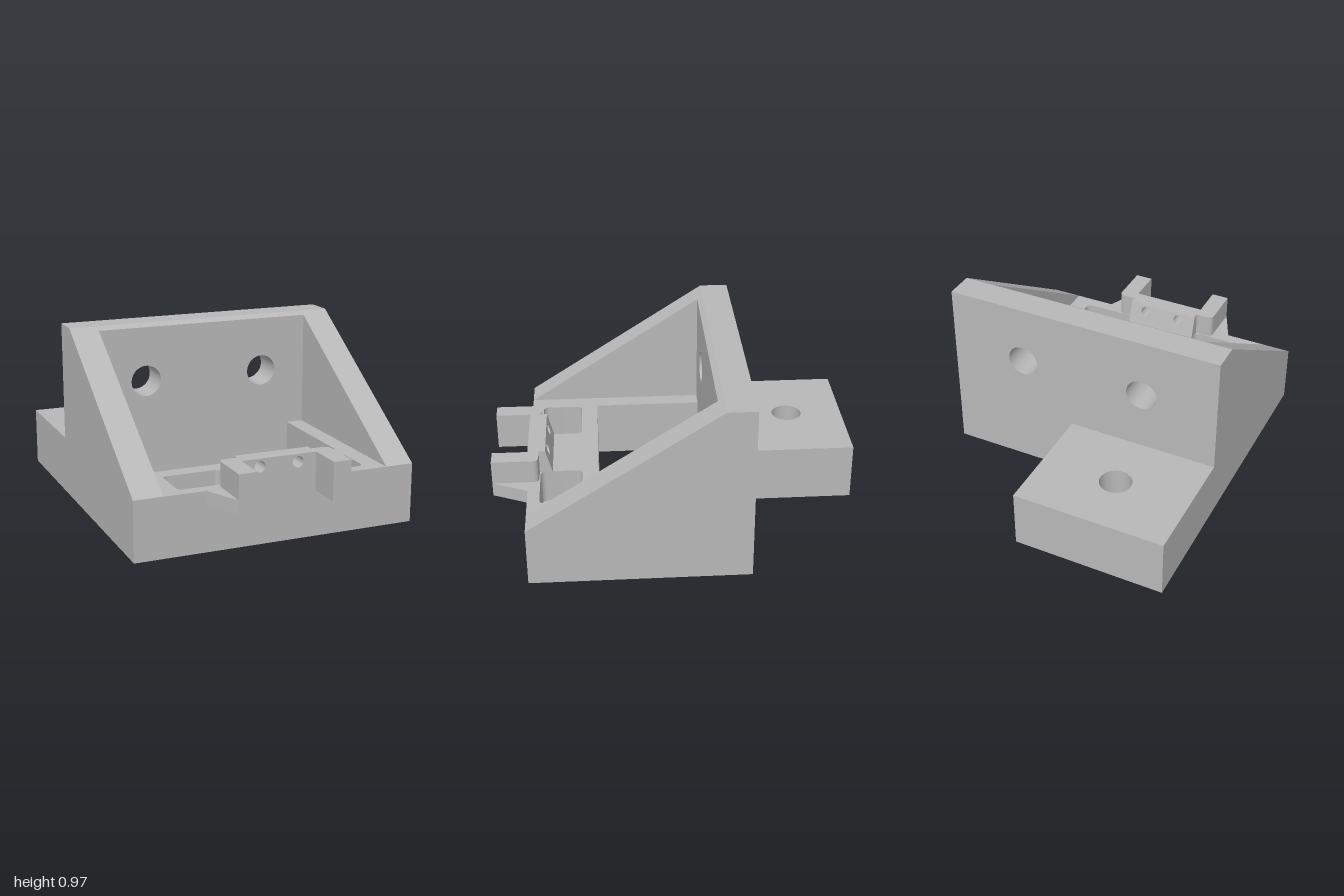
import * as THREE from 'three';
import { toCreasedNormals } from 'three/addons/utils/BufferGeometryUtils.js';

const polygon = (pts) => new THREE.Shape(pts.map(([x, y]) => new THREE.Vector2(x, y)));
const rect = (x0, y0, x1, y1) => polygon([[x0, y0], [x1, y0], [x1, y1], [x0, y1]]);
const circle = (x, y, r) => new THREE.Path().absarc(x, y, r, 0, Math.PI * 2, true);

function roundRect(x0, y0, x1, y1, r) {
  const p = new THREE.Path();
  p.absarc(x1 - r, y1 - r, r, 0, Math.PI / 2);
  p.absarc(x0 + r, y1 - r, r, Math.PI / 2, Math.PI);
  p.absarc(x0 + r, y0 + r, r, Math.PI, Math.PI * 1.5);
  p.absarc(x1 - r, y0 + r, r, Math.PI * 1.5, Math.PI * 2);
  p.closePath();
  return p;
}

const extrude = (shape, depth) =>
  new THREE.ExtrudeGeometry(shape, { depth, bevelEnabled: false, curveSegments: 24 });

// Plan shape in (x, z), standing between two heights
const slab = (shape, y0, y1) => extrude(shape, y1 - y0).rotateX(Math.PI / 2).translate(0, y1, 0);

// Side profile in (z, y), spanning x0 to x1
const sideProfile = (shape, x0, x1) => extrude(shape, x1 - x0).rotateY(-Math.PI / 2).translate(x1, 0, 0);

// Moves vertices by a rule
function reshape(geometry, rule) {
  const p = geometry.attributes.position;
  const v = new THREE.Vector3();
  for (let i = 0; i < p.count; i++) {
    rule(v.fromBufferAttribute(p, i));
    p.setXYZ(i, v.x, v.y, v.z);
  }
  return geometry;
}

export function createModel() {
  const model = new THREE.Group();
  model.name = 'mountingBracket';
  const grey = new THREE.MeshStandardMaterial({ color: 0xb8b8b8 });
  grey.name = 'plain grey';

  const add = (name, geometry, parent = model) => {
    const mesh = new THREE.Mesh(toCreasedNormals(geometry, 0.5), grey);
    mesh.name = name;
    parent.add(mesh);
  };

  const W = 0.77, BACK = -0.355, FRONT = 0.81, BASE = 0.32, TOP = 0.97;

  // Base with rear tab, in layers so that pockets and counterbore have steps
  const pocket = (x) => roundRect(x, 0.52, x + 0.315, 0.745, 0.03);
  const keyhole = (x) => {
    const p = new THREE.Path();
    p.moveTo(x + 0.155, 0.52);
    p.lineTo(x + 0.285, 0.52);
    p.quadraticCurveTo(x + 0.315, 0.52, x + 0.315, 0.55);
    p.lineTo(x + 0.315, 0.715);
    p.quadraticCurveTo(x + 0.315, 0.745, x + 0.285, 0.745);
    p.lineTo(x + 0.155, 0.745);
    p.lineTo(x + 0.12, 0.685);
    p.quadraticCurveTo(x + 0.07, 0.685, x + 0.07, 0.633);
    p.quadraticCurveTo(x + 0.07, 0.58, x + 0.12, 0.58);
    p.closePath();
    return p;
  };
  const square = (x) => rect(x - 0.1, 0.545, x + 0.1, 0.745);
  const pocketX = [-0.515, 0.2];
  const layers = [
    { y0: 0, y1: 0.085, cut: keyhole, squares: true, bore: 0.12 },
    { y0: 0.085, y1: 0.13, cut: keyhole, squares: true, bore: 0.086 },
    { y0: 0.13, y1: 0.2, cut: pocket, squares: true, bore: 0.086 },
    { y0: 0.2, y1: BASE, cut: pocket, squares: false, bore: 0.086 },
  ];
  const base = new THREE.Group();
  base.name = 'base';
  model.add(base);
  layers.forEach(({ y0, y1, cut, squares, bore }, i) => {
    const plan = polygon([[-W, -1], [0.06, -1], [0.06, BACK], [W, BACK], [W, FRONT], [-W, FRONT]]);
    plan.holes.push(rect(-0.52, -0.17, 0.52, 0.43), circle(-0.36, -0.68, bore), ...pocketX.map(cut));
    if (squares) plan.holes.push(square(-0.635), square(0.08));
    add(`baseLayer${i + 1}`, slab(plan, y0, y1), base);
  });

  // Sloping side walls
  const gusset = () => polygon([[BACK, BASE], [FRONT, BASE], [-0.2, TOP], [BACK, TOP]]);
  add('leftWall', sideProfile(gusset(), 0.615, W));
  add('rightWall', sideProfile(gusset(), -W, -0.615));

  // Back wall with two bolt holes, its front top edge following the slope
  const wall = rect(-0.615, BASE, 0.615, TOP);
  wall.holes.push(circle(-0.348, 0.648, 0.086), circle(0.348, 0.648, 0.086));
  add('backWall', extrude(wall, -0.2 - BACK).translate(0, 0, BACK));
  add('backWallFace', reshape(extrude(wall, 0.03).translate(0, 0, -0.2), (v) => {
    if (v.z > -0.18 && v.y > 0.96) v.y = 0.95;
  }));

  // Raised bar with two pin holes and a leaning back
  const bar = rect(-0.205, BASE, 0.205, 0.45);
  bar.holes.push(circle(-0.105, 0.408, 0.03), circle(0.105, 0.408, 0.03));
  add('clipBar', reshape(extrude(bar, 0.13).translate(0, 0, 0.68), (v) => {
    if (v.z < 0.7) v.z = 0.68 + (v.y - BASE) * 0.27;
  }));

  // Forward arms with a triangular brace outside each
  for (const s of [1, -1]) {
    const side = s > 0 ? 'left' : 'right';
    const arm = new THREE.Shape();
    arm.moveTo(s * 0.205, 0.75);
    arm.lineTo(s * 0.27, 0.75);
    arm.quadraticCurveTo(s * 0.303, 0.75, s * 0.303, 0.785);
    arm.lineTo(s * 0.303, 1);
    arm.lineTo(s * 0.205, 1);
    arm.closePath();
    add(`${side}Arm`, slab(arm, 0.245, 0.45));
    const brace = polygon([[s * 0.303, FRONT], [s * 0.39, FRONT], [s * 0.303, 1]]);
    add(`${side}ArmBrace`, slab(brace, 0.245, BASE));
  }
  return model;
}
